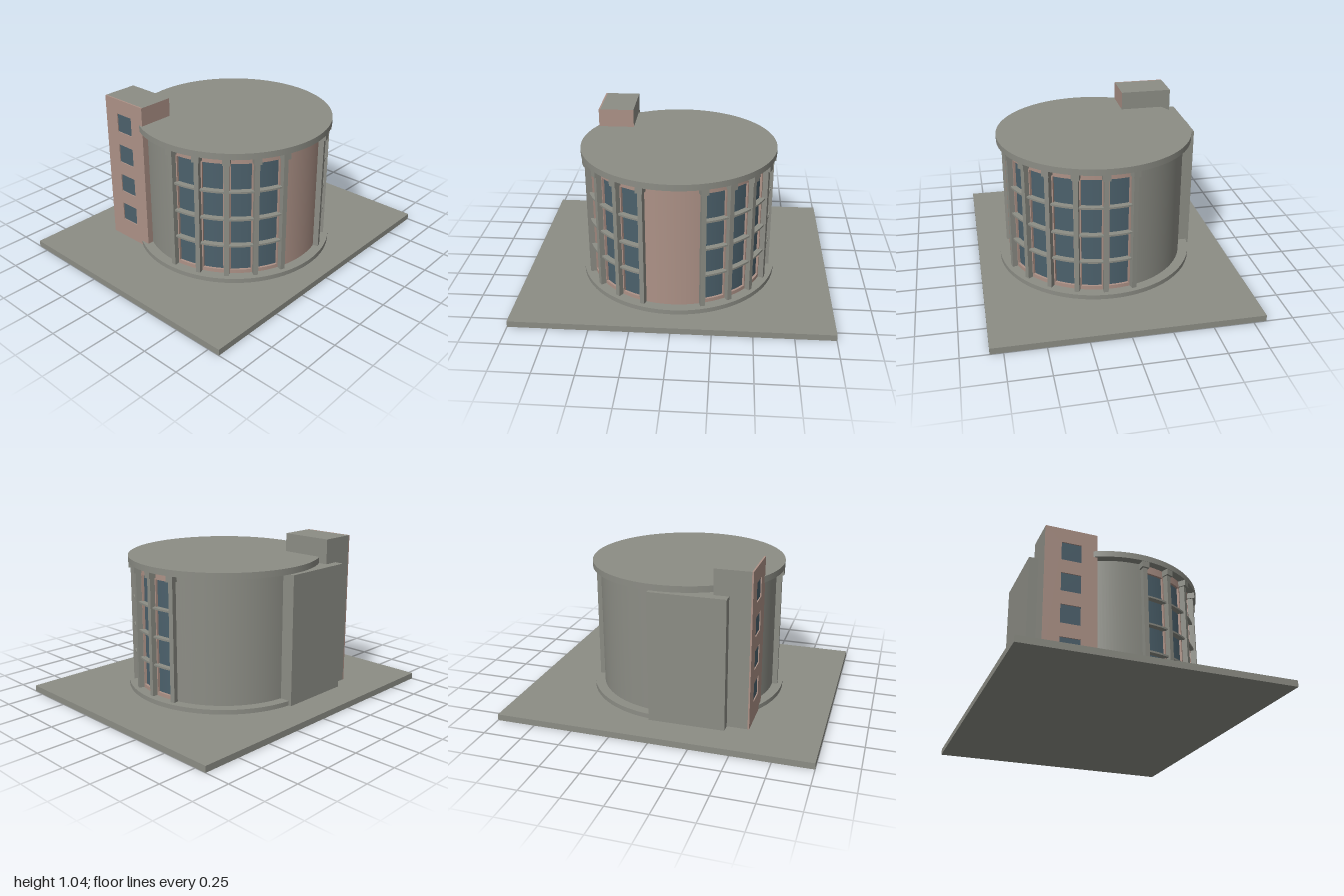
import * as THREE from 'three';
import { toCreasedNormals } from 'three/addons/utils/BufferGeometryUtils.js';

export function createModel() {
  const model = new THREE.Group();
  model.name = 'roundBuilding';
  const material = (name, color) => {
    const m = new THREE.MeshStandardMaterial({ color });
    m.name = name;
    return m;
  };
  const concrete = material('concrete', 0x8c8d85);
  const brick = material('pinkBrick', 0xad9287);
  const glass = material('blueGlass', 0x4c616c);

  const add = (parent, name, geometry, mat, x = 0, y = 0, z = 0) => {
    const mesh = new THREE.Mesh(geometry, mat);
    mesh.name = name;
    mesh.position.set(x, y, z);
    parent.add(mesh);
    return mesh;
  };
  // Box given by its limits on each axis
  const box = (parent, name, mat, [x0, x1], [y0, y1], [z0, z1]) =>
    add(parent, name, new THREE.BoxGeometry(x1 - x0, y1 - y0, z1 - z0), mat,
      (x0 + x1) / 2, (y0 + y1) / 2, (z0 + z1) / 2);

  // Curved wall piece; angles in degrees from the front towards +x
  const drum = new THREE.Group();
  drum.name = 'drum';
  drum.position.z = 0.04;
  model.add(drum);
  const arc = (name, mat, r0, r1, y0, y1, from, to) => {
    const a = THREE.MathUtils.degToRad(from - 90);
    const b = THREE.MathUtils.degToRad(to - 90);
    const shape = new THREE.Shape();
    shape.absarc(0, 0, r1, a, b, false);
    shape.absarc(0, 0, r0, b, a, true);
    let g = new THREE.ExtrudeGeometry(shape, {
      depth: y1 - y0, bevelEnabled: false,
      curveSegments: Math.max(4, Math.ceil((to - from) / 4)),
    });
    g.rotateX(-Math.PI / 2);
    g = toCreasedNormals(g, 0.5);
    return add(drum, name, g, mat, 0, y0, 0);
  };

  // Ground slab, plinth and roof disc
  box(model, 'groundSlab', concrete, [-1, 1], [0, 0.04], [-0.83, 0.83]);
  add(drum, 'plinth', new THREE.CylinderGeometry(0.645, 0.645, 0.03, 96), concrete, 0, 0.055, 0);
  add(drum, 'roof', new THREE.CylinderGeometry(0.63, 0.63, 0.04, 96), concrete, 0, 0.9, 0);

  // Column angles: five on the -x side, six on the +x side
  const step = 360 / 21;
  const rightColumns = [0, 1, 2, 3, 4, 5].map((i) => 18 + i * step);
  const leftColumns = [4, 3, 2, 1, 0].map((i) => -18 - i * step);

  // Solid walls
  arc('entranceWall', brick, 0.55, 0.58, 0.07, 0.88, -18, 18);
  arc('rearWall', concrete, 0.55, 0.58, 0.07, 0.88, rightColumns[5], 360 + leftColumns[0]);

  // Columns with capitals under the roof
  for (const angle of [...leftColumns, ...rightColumns]) {
    const column = new THREE.Group();
    column.name = 'column';
    column.rotation.y = THREE.MathUtils.degToRad(angle);
    drum.add(column);
    box(column, 'shaft', concrete, [-0.015, 0.015], [0.07, 0.88], [0.56, 0.615]);
    box(column, 'capital', concrete, [-0.024, 0.024], [0.84, 0.88], [0.56, 0.628]);
  }

  // Glazed bays: sill, lintel, jambs, recessed glass and three rails
  for (const angles of [leftColumns, rightColumns]) {
    for (let i = 0; i < angles.length - 1; i++) {
      const a = angles[i], b = angles[i + 1];
      arc('sill', brick, 0.55, 0.58, 0.07, 0.095, a, b);
      arc('lintel', brick, 0.55, 0.58, 0.83, 0.88, a, b);
      arc('jamb', brick, 0.55, 0.58, 0.095, 0.83, a, a + 2.3);
      arc('jamb', brick, 0.55, 0.58, 0.095, 0.83, b - 2.3, b);
      arc('glass', glass, 0.555, 0.565, 0.095, 0.83, a + 2.3, b - 2.3);
      for (const y of [0.278, 0.463, 0.65]) {
        arc('rail', concrete, 0.56, 0.602, y - 0.006, y + 0.006, a, b);
      }
    }
  }

  // Flat rear block against the drum
  box(model, 'rearBlock', concrete, [-0.42, 0.065], [0.04, 0.88], [-0.62, -0.36]);

  // Stair tower: brick on the front and outer side, concrete elsewhere
  const tower = new THREE.Group();
  tower.name = 'stairTower';
  model.add(tower);
  box(tower, 'towerBody', [concrete, brick, concrete, concrete, brick, concrete],
    [-0.55, -0.325], [0.04, 1.04], [-0.56, -0.22]);

  // Outer brick face with four window openings
  const face = new THREE.Shape();
  const rect = (path, x0, x1, y0, y1) =>
    path.moveTo(x0, y0).lineTo(x1, y0).lineTo(x1, y1).lineTo(x0, y1).closePath();
  rect(face, -0.56, -0.22, 0.04, 1.04);
  for (const y of [0.235, 0.45, 0.665, 0.88]) {
    const hole = new THREE.Path();
    rect(hole, -0.455, -0.325, y - 0.0625, y + 0.0625);
    face.holes.push(hole);
    box(tower, 'towerWindow', glass, [-0.553, -0.549], [y - 0.0625, y + 0.0625], [-0.455, -0.325]);
  }
  const faceGeometry = new THREE.ExtrudeGeometry(face, { depth: 0.01, bevelEnabled: false });
  faceGeometry.rotateY(-Math.PI / 2);
  add(tower, 'towerWindowWall', faceGeometry, brick, -0.55, 0, 0);

  return model;
}
